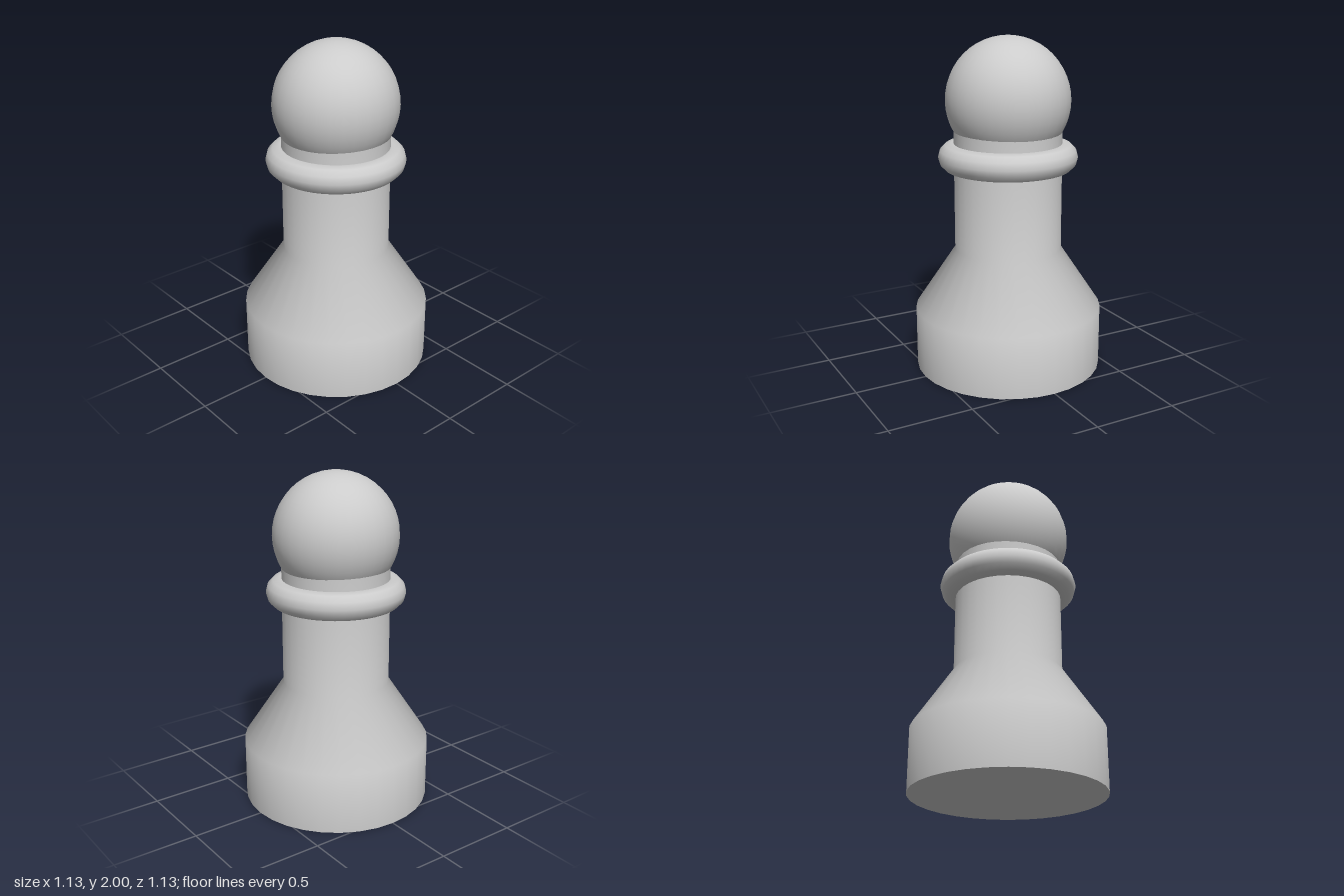
import * as THREE from 'three';

const SIDES = 32;
const grey = new THREE.MeshStandardMaterial({ color: 0xcccccc });

function addPart(group, name, geometry, y = 0) {
  const mesh = new THREE.Mesh(geometry, grey);
  mesh.name = name;
  mesh.position.y = y;
  group.add(mesh);
  return mesh;
}

export function createModel() {
  const group = new THREE.Group();
  group.name = 'pawn';

  // Turned body: straight foot, sloping shoulder and neck
  const profile = [[0.563, 0], [0.563, 0.37], [0.32, 0.735], [0.32, 1.52]]
    .map(([r, y]) => new THREE.Vector2(r, y));
  addPart(group, 'body', new THREE.LatheGeometry(profile, SIDES));

  // Underside
  const underside = new THREE.CircleGeometry(0.563, SIDES);
  underside.rotateX(Math.PI / 2);
  addPart(group, 'underside', underside);

  // Rounded collar around the neck
  const collar = new THREE.TorusGeometry(0.33, 0.083, 12, 48);
  collar.rotateX(Math.PI / 2);
  addPart(group, 'collar', collar, 1.295);

  // Ball head, a touch narrower from side to side
  const head = addPart(group, 'head', new THREE.SphereGeometry(0.372, 32, 24), 1.628);
  head.scale.x = 0.985;

  return group;
}
